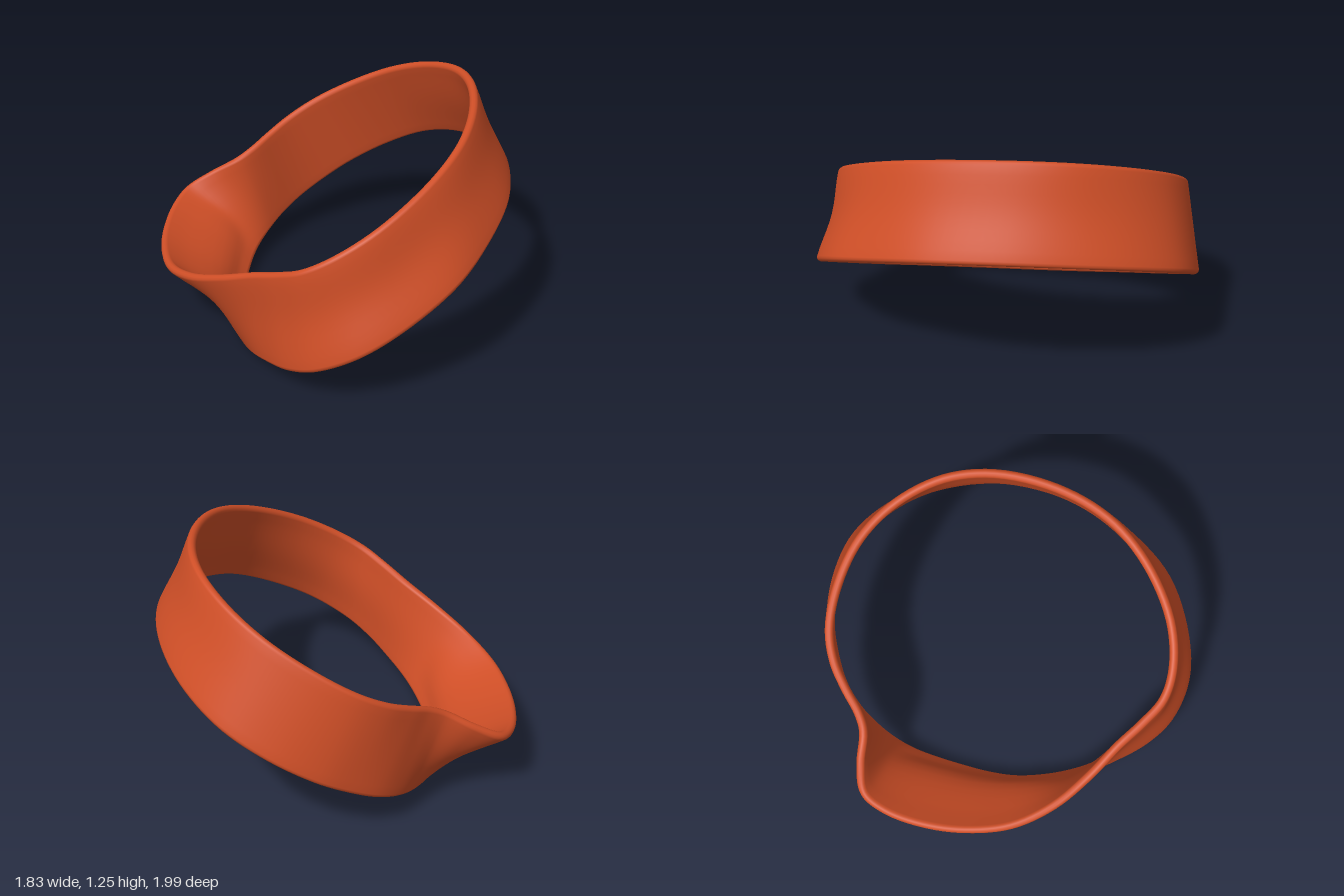
import * as THREE from 'three';

// Stations round the band, counterclockwise from the left side: [upper x, upper z, lower x, lower z]
const STATIONS = [
  [0.708, -0.12, 0.903, -0.05], [0.67, -0.37, 0.865, -0.38], [0.55, -0.6, 0.76, -0.655],
  [0.38, -0.77, 0.595, -0.86], [0.17, -0.87, 0.39, -0.955], [-0.03, -0.903, 0.18, -0.975],
  [-0.18, -0.87, 0.03, -0.945], [-0.3, -0.8, -0.12, -0.885], [-0.4, -0.73, -0.23, -0.8],
  [-0.485, -0.7, -0.31, -0.7], [-0.635, -0.71, -0.375, -0.58], [-0.775, -0.685, -0.415, -0.47],
  [-0.85, -0.57, -0.445, -0.35], [-0.9, -0.37, -0.475, -0.2], [-0.91, -0.14, -0.5, -0.05],
  [-0.87, 0.1, -0.51, 0.1], [-0.76, 0.31, -0.49, 0.28], [-0.605, 0.48, -0.445, 0.46],
  [-0.45, 0.615, -0.37, 0.63], [-0.335, 0.73, -0.28, 0.785], [-0.225, 0.82, -0.16, 0.905],
  [-0.08, 0.852, 0.03, 0.975], [0.13, 0.815, 0.24, 0.95], [0.375, 0.665, 0.5, 0.825],
  [0.555, 0.46, 0.685, 0.61], [0.665, 0.195, 0.84, 0.32],
];
const AROUND = 156, HALF = 0.023, RIM = 0.045;

// Both rims lie in parallel tilted planes
const rim = (k, height) => new THREE.CatmullRomCurve3(
  STATIONS.map(s => new THREE.Vector3(s[k], height + 0.561 * s[k], s[k + 1])), true);
const upper = rim(0, 0.849), lower = rim(2, 0.293);

// Middle surface of the wall, pinched under the flared lip and slightly hollow elsewhere
function wall(u, v) {
  u = (u + 1) % 1;
  const top = upper.getPoint(u);
  const p = lower.getPoint(u).lerp(top, v);
  const waist = Math.sin(Math.PI * v) ** 2;
  p.x += 0.085 * THREE.MathUtils.smoothstep(-top.x, 0.65, 0.93) * waist;
  p.x -= 0.012 * THREE.MathUtils.smoothstep(top.x, 0.2, 0.7) * waist;
  p.z -= 0.022 * THREE.MathUtils.smoothstep(top.z, 0.3, 0.85) * waist;
  return p;
}

// Closed cross-section [height fraction, thickness offset]: outside, upper rim, inside, lower rim
function crossSection() {
  const section = [], steps = 10, capSteps = 6;
  for (const side of [1, -1]) {
    for (let i = 0; i < steps; i++) {
      const v = RIM + (1 - 2 * RIM) * i / steps;
      section.push([side > 0 ? v : 1 - v, side * HALF]);
    }
    for (let i = 0; i < capSteps; i++) {
      const a = Math.PI * i / capSteps;
      const v = 1 - RIM + RIM * Math.sin(a);
      section.push([side > 0 ? v : 1 - v, side * HALF * Math.cos(a)]);
    }
  }
  return section;
}

function bandGeometry() {
  const section = crossSection(), n = section.length, e = 0.002;
  const positions = [], index = [];
  for (let i = 0; i < AROUND; i++) {
    const u = i / AROUND;
    section.forEach(([v, offset], j) => {
      const along = wall(u + e, v).sub(wall(u - e, v));
      const up = wall(u, v + e).sub(wall(u, v - e));
      const p = wall(u, v).addScaledVector(along.cross(up).normalize(), offset);
      positions.push(p.x, p.y, p.z);
      const i2 = (i + 1) % AROUND, j2 = (j + 1) % n;
      const a = i * n + j, b = i2 * n + j, c = i2 * n + j2, d = i * n + j2;
      index.push(a, b, c, a, c, d);
    });
  }
  const geometry = new THREE.BufferGeometry();
  geometry.setAttribute('position', new THREE.Float32BufferAttribute(positions, 3));
  geometry.setIndex(index);
  geometry.computeVertexNormals();
  return geometry;
}

export function createModel() {
  const group = new THREE.Group();
  group.name = 'flaredBand';
  const rust = new THREE.MeshStandardMaterial({ color: 0xd04f27 });
  rust.name = 'rust orange';
  const band = new THREE.Mesh(bandGeometry(), rust);
  band.name = 'band';
  group.add(band);
  return group;
}
